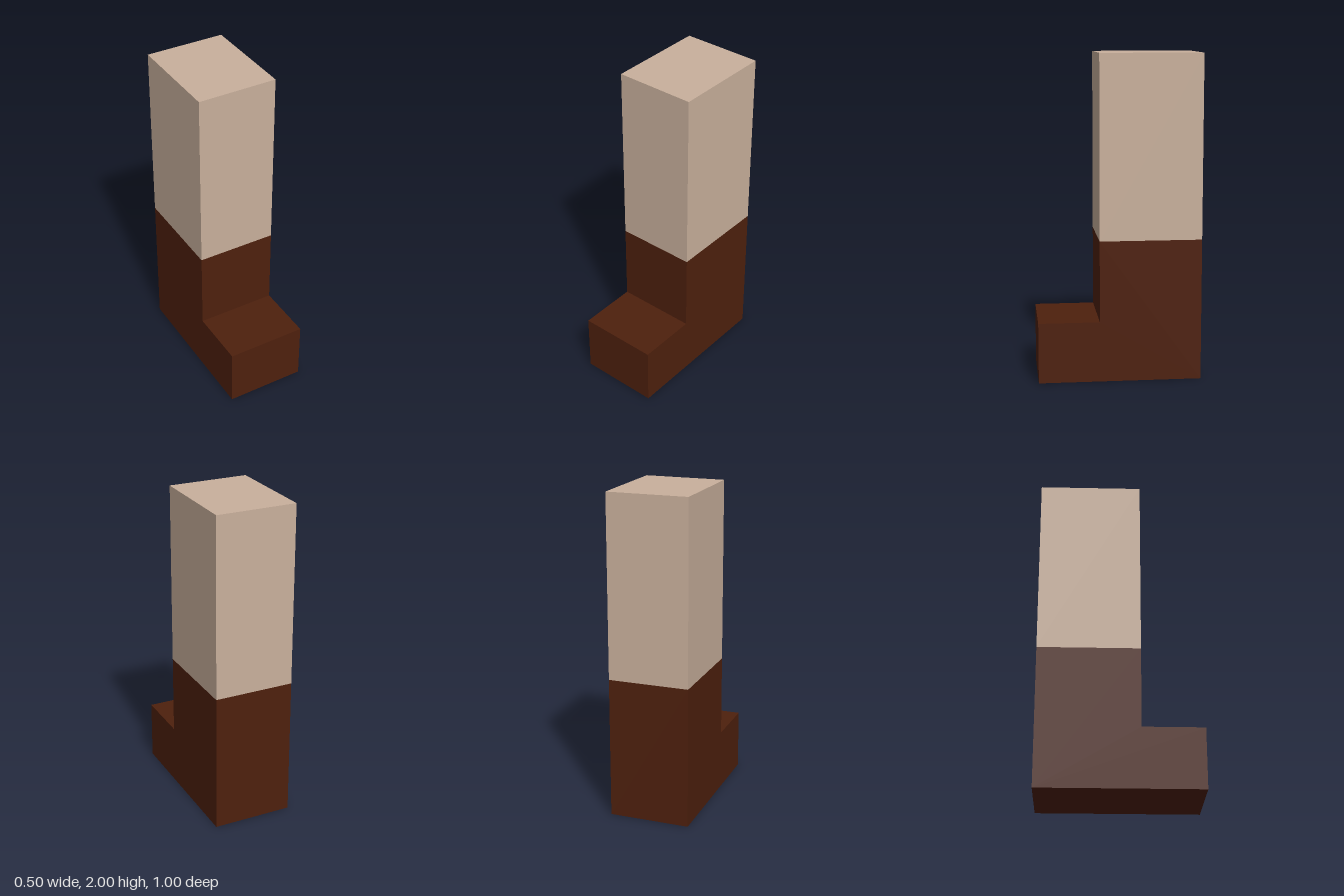
import * as THREE from 'three';

const WIDTH = 0.5;
const BACK = -0.5, SHIN = 0.125, TOE = 0.5; // z positions
const INSTEP = 0.375, CUFF = 0.875, TOP = 2; // heights

export function createModel() {
  const skin = new THREE.MeshStandardMaterial({ color: 0xc9b09c });
  skin.name = 'skin';
  const leather = new THREE.MeshStandardMaterial({ color: 0x4e200d });
  leather.name = 'boot leather';

  const group = new THREE.Group();
  group.name = 'bootedLeg';

  // Boot: L-shaped side profile (z, y) extruded across the width
  const profile = new THREE.Shape([
    [BACK, 0], [TOE, 0], [TOE, INSTEP], [SHIN, INSTEP], [SHIN, CUFF], [BACK, CUFF],
  ].map(([z, y]) => new THREE.Vector2(z, y)));
  const bootGeometry = new THREE.ExtrudeGeometry(profile, { depth: WIDTH, bevelEnabled: false });
  bootGeometry.rotateY(-Math.PI / 2).translate(WIDTH / 2, 0, 0);
  const boot = new THREE.Mesh(bootGeometry, leather);
  boot.name = 'boot';

  // Leg: square column rising from the boot cuff
  const leg = new THREE.Mesh(new THREE.BoxGeometry(WIDTH, TOP - CUFF, SHIN - BACK), skin);
  leg.position.set(0, (TOP + CUFF) / 2, (SHIN + BACK) / 2);
  leg.name = 'leg';

  group.add(boot, leg);
  return group;
}
